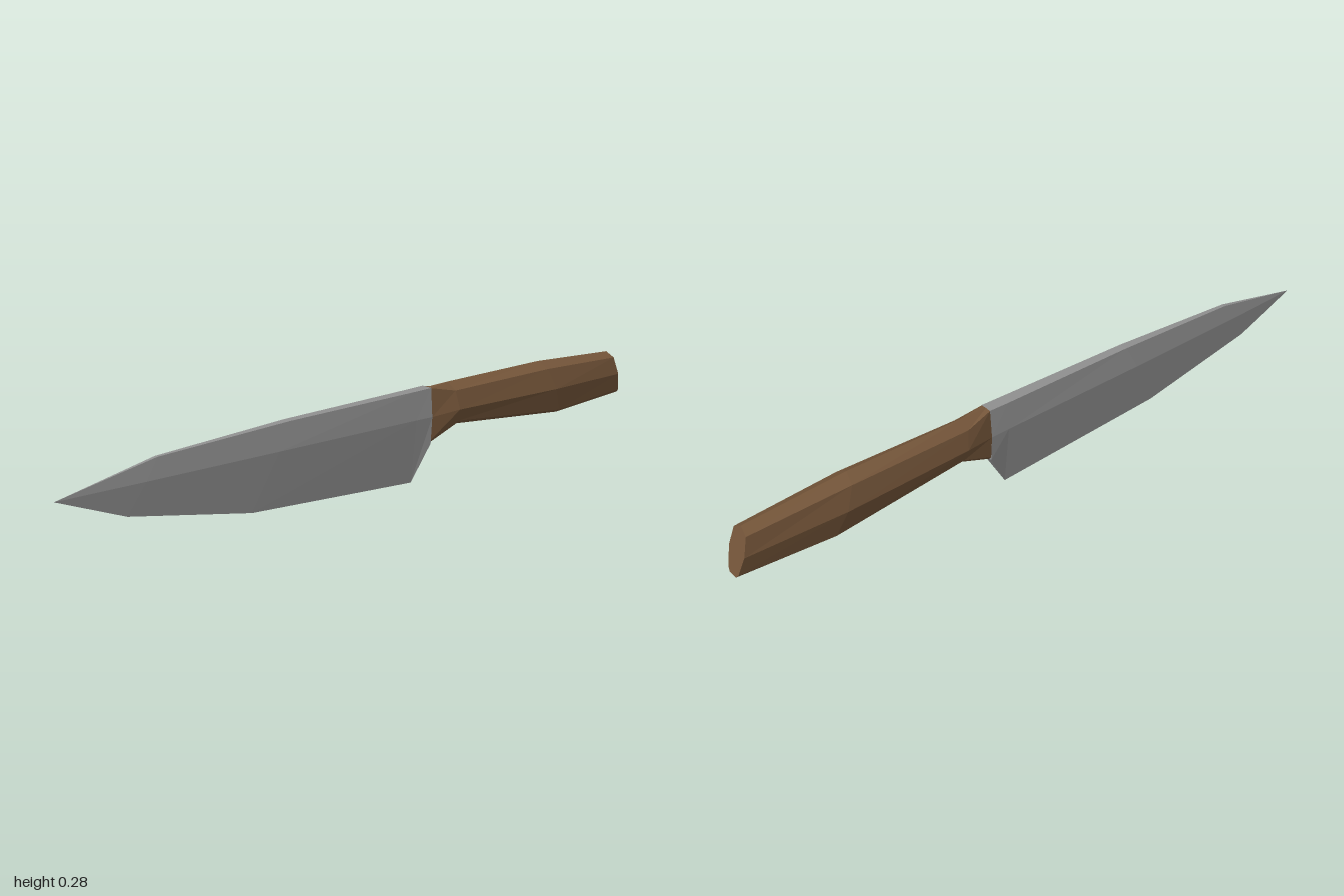
import * as THREE from 'three';

// Skin a list of rings (front to back, each counter-clockwise seen from +z)
function loft(rings) {
  const out = [];
  const tri = (a, b, c) => {
    const area = new THREE.Triangle(a, b, c).getArea();
    if (area > 1e-8) for (const p of [a, b, c]) out.push(p.x, p.y, p.z);
  };
  const n = rings[0].length;
  for (let i = 0; i < rings.length - 1; i++) {
    for (let j = 0; j < n; j++) {
      const k = (j + 1) % n;
      const a = rings[i][j], b = rings[i][k], c = rings[i + 1][k], d = rings[i + 1][j];
      tri(a, d, c);
      tri(a, c, b);
    }
  }
  const first = rings[0], last = rings[rings.length - 1];
  for (let j = 1; j < n - 1; j++) {
    tri(first[0], first[j], first[j + 1]);
    tri(last[0], last[j + 1], last[j]);
  }
  const geometry = new THREE.BufferGeometry();
  geometry.setAttribute('position', new THREE.Float32BufferAttribute(out, 3));
  geometry.computeVertexNormals();
  return geometry;
}

// Mirrored ring from [half width, y] pairs, bottom to top; z slants from bottom to top
function ring(zBottom, zTop, side) {
  const y0 = side[0][1], y1 = side[side.length - 1][1];
  const point = (x, y) =>
    new THREE.Vector3(x, y, THREE.MathUtils.lerp(zBottom, zTop, y1 > y0 ? (y - y0) / (y1 - y0) : 0));
  return [
    ...side.map(([x, y]) => point(x, y)),
    ...side.slice().reverse().map(([x, y]) => point(-x, y)),
  ];
}

export function createModel() {
  const steel = new THREE.MeshStandardMaterial({ color: 0x909090 });
  steel.name = 'steel';
  const wood = new THREE.MeshStandardMaterial({ color: 0x75563a });
  wood.name = 'wood';
  steel.flatShading = wood.flatShading = true;

  const group = new THREE.Group();
  group.name = 'knife';
  const add = (name, rings, material) => {
    const mesh = new THREE.Mesh(loft(rings), material);
    mesh.name = name;
    group.add(mesh);
  };

  // Blade: cutting edge, widest ridge, flat spine
  add('blade', [
    ring(1, 1, [[0, 0.18], [0, 0.18], [0, 0.18]]),
    ring(0.8, 0.71, [[0, 0.1], [0.01, 0.183], [0.006, 0.24]]),
    ring(0.42, 0.3, [[0, 0.028], [0.019, 0.187], [0.013, 0.263]]),
    ring(-0.14, -0.14, [[0, 0], [0.023, 0.19], [0.018, 0.273]]),
    ring(-0.2, -0.2, [[0.018, 0.11], [0.024, 0.19], [0.018, 0.275]]),
  ], steel);

  // Handle: faceted grip with a narrow neck and slanted butt
  add('handle', [
    ring(-0.2, -0.2, [[0.01, 0.11], [0.018, 0.12], [0.024, 0.19], [0.018, 0.274], [0, 0.275]]),
    ring(-0.3, -0.28, [[0.018, 0.153], [0.028, 0.163], [0.041, 0.2], [0.03, 0.256], [0, 0.278]]),
    ring(-0.72, -0.65, [[0.018, 0.117], [0.033, 0.127], [0.05, 0.2], [0.036, 0.264], [0, 0.284]]),
    ring(-1, -0.96, [[0.015, 0.135], [0.024, 0.145], [0.036, 0.2], [0.028, 0.254], [0, 0.27]]),
  ], wood);

  return group;
}
